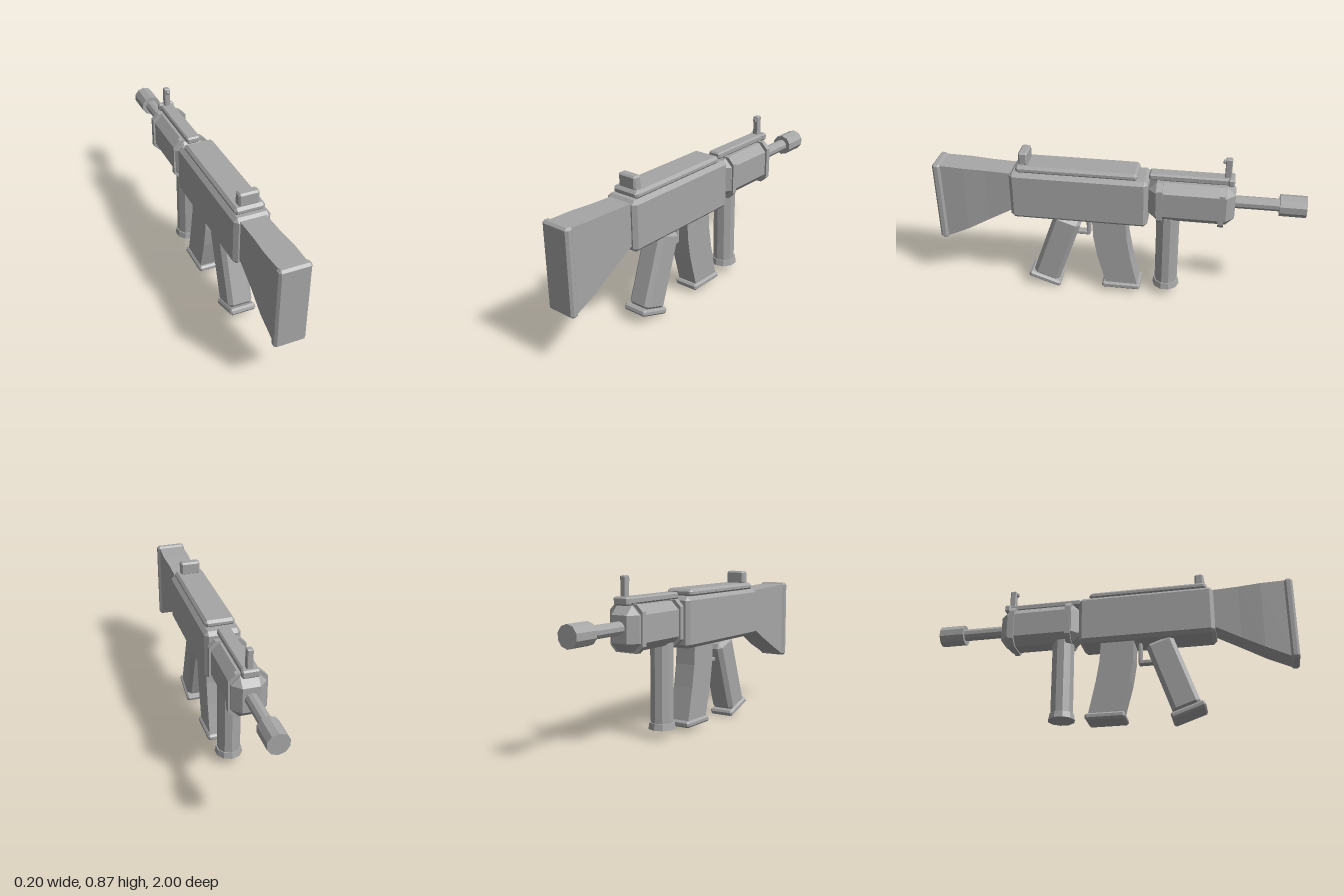
import * as THREE from 'three';
import { ConvexGeometry } from 'three/addons/geometries/ConvexGeometry.js';

export function createModel() {
  const group = new THREE.Group();
  const grey = new THREE.MeshStandardMaterial({ color: 0xa6a6a6, flatShading: true });
  grey.name = 'grey';

  function add(name, geometry, x = 0, y = 0, z = 0) {
    const mesh = new THREE.Mesh(geometry, grey);
    mesh.name = name;
    mesh.position.set(x, y, z);
    group.add(mesh);
    return mesh;
  }

  // Box with every edge cut by c: three hull points at each corner
  function chamferBox(w, h, d, c) {
    const pts = [];
    for (const sx of [-1, 1]) for (const sy of [-1, 1]) for (const sz of [-1, 1]) {
      const [x, y, z] = [w / 2, h / 2, d / 2];
      pts.push(new THREE.Vector3(sx * x, sy * (y - c), sz * (z - c)));
      pts.push(new THREE.Vector3(sx * (x - c), sy * y, sz * (z - c)));
      pts.push(new THREE.Vector3(sx * (x - c), sy * (y - c), sz * z));
    }
    return new ConvexGeometry(pts);
  }

  // Chamfered box given by its half width and its y and z ranges
  function block(name, half, y0, y1, z0, z1, c) {
    return add(name, chamferBox(half * 2, y1 - y0, z1 - z0, c), 0, (y0 + y1) / 2, (z0 + z1) / 2);
  }

  // Closed skin over a row of four-cornered sections
  function loft(sections) {
    const pos = [], idx = [], last = (sections.length - 1) * 4;
    sections.forEach((s) => s.forEach((p) => pos.push(...p)));
    for (let s = 0; s < last; s += 4) {
      for (let i = 0; i < 4; i++) {
        const a = s + i, b = s + (i + 1) % 4;
        idx.push(a, b, b + 4, a, b + 4, a + 4);
      }
    }
    idx.push(0, 2, 1, 0, 3, 2, last, last + 1, last + 2, last, last + 2, last + 3);
    const g = new THREE.BufferGeometry();
    g.setAttribute('position', new THREE.Float32BufferAttribute(pos, 3));
    g.setIndex(idx);
    const flat = g.toNonIndexed();
    flat.computeVertexNormals();
    return flat;
  }

  // Receiver with its top cover and rear sight
  block('receiver', 0.098, 0.475, 0.75, -0.172, 0.575, 0.02);
  block('topCover', 0.082, 0.745, 0.787, -0.115, 0.54, 0.014);
  block('rearSight', 0.055, 0.78, 0.855, 0.475, 0.525, 0.009);

  // Stock: z, bottom, top, half width
  const stock = [
    [0.55, 0.525, 0.735, 0.07], [0.71, 0.435, 0.742, 0.07],
    [0.83, 0.368, 0.748, 0.076], [0.97, 0.3, 0.753, 0.072],
  ];
  add('stock', loft(stock.map(([z, b, t, w]) => [[-w, b, z], [w, b, z], [w, t, z], [-w, t, z]])));
  block('buttPlate', 0.084, 0.295, 0.762, 0.955, 1, 0.012);

  // Handguard with two bands and a rail
  block('handguard', 0.09, 0.507, 0.735, -0.63, -0.17, 0.045);
  const w = 0.1, c = 0.035, y0 = 0.5, y1 = 0.742;
  const outline = new THREE.Shape([
    [-w + c, y0], [w - c, y0], [w, y0 + c], [w, y1 - c],
    [w - c, y1], [-w + c, y1], [-w, y1 - c], [-w, y0 + c],
  ].map(([x, y]) => new THREE.Vector2(x, y)));
  for (const z of [-0.235, -0.56]) {
    add('handguardBand', new THREE.ExtrudeGeometry(outline, { depth: 0.03, bevelEnabled: false }), 0, 0, z - 0.015);
  }
  block('frontRail', 0.037, 0.738, 0.775, -0.61, -0.172, 0.008);
  block('sightBase', 0.045, 0.735, 0.778, -0.62, -0.585, 0.008);
  block('frontSight', 0.016, 0.77, 0.88, -0.6, -0.565, 0.004);
  block('frontSightBead', 0.009, 0.85, 0.87, -0.57, -0.552, 0.003);

  // Barrel and muzzle
  const tube = (r, z0, z1, n) => new THREE.CylinderGeometry(r, r, z1 - z0, n).rotateX(Math.PI / 2).translate(0, 0, (z0 + z1) / 2);
  add('barrel', tube(0.034, -0.88, -0.6, 10), 0, 0.627);
  add('muzzle', tube(0.058, -1, -0.86, 10), 0, 0.627);

  // Round foregrip
  add('foregrip', new THREE.CylinderGeometry(0.063, 0.063, 0.44, 10), 0, 0.3, -0.277);
  add('foregripCap', new THREE.CylinderGeometry(0.069, 0.075, 0.035, 10), 0, 0.078, -0.277);

  // Curved magazine: y, rear z, front z
  const magazine = [
    [0.06, 0.058, -0.12], [0.25, 0.107, -0.078], [0.37, 0.127, -0.058], [0.5, 0.133, -0.05],
  ];
  const m = 0.06;
  add('magazine', loft(magazine.map(([y, r, f]) => [[-m, y, r], [m, y, r], [m, y, f], [-m, y, f]])));
  block('magazineBase', 0.072, 0.035, 0.071, -0.135, 0.08, 0.01);

  // Slanted pistol grip
  const grip = new THREE.Group();
  grip.name = 'pistolGrip';
  grip.position.set(0, 0.055, 0.412);
  grip.rotation.x = -0.335;
  grip.add(add('gripBody', chamferBox(0.138, 0.43, 0.155, 0.022), 0, 0.225, 0));
  grip.add(add('gripBase', chamferBox(0.146, 0.036, 0.19, 0.01), 0, 0, 0));
  group.add(grip);

  // Trigger bar under the receiver
  block('triggerPost', 0.02, 0.352, 0.49, 0.15, 0.17, 0.004);
  block('triggerFoot', 0.02, 0.352, 0.375, 0.15, 0.24, 0.004);

  return group;
}
